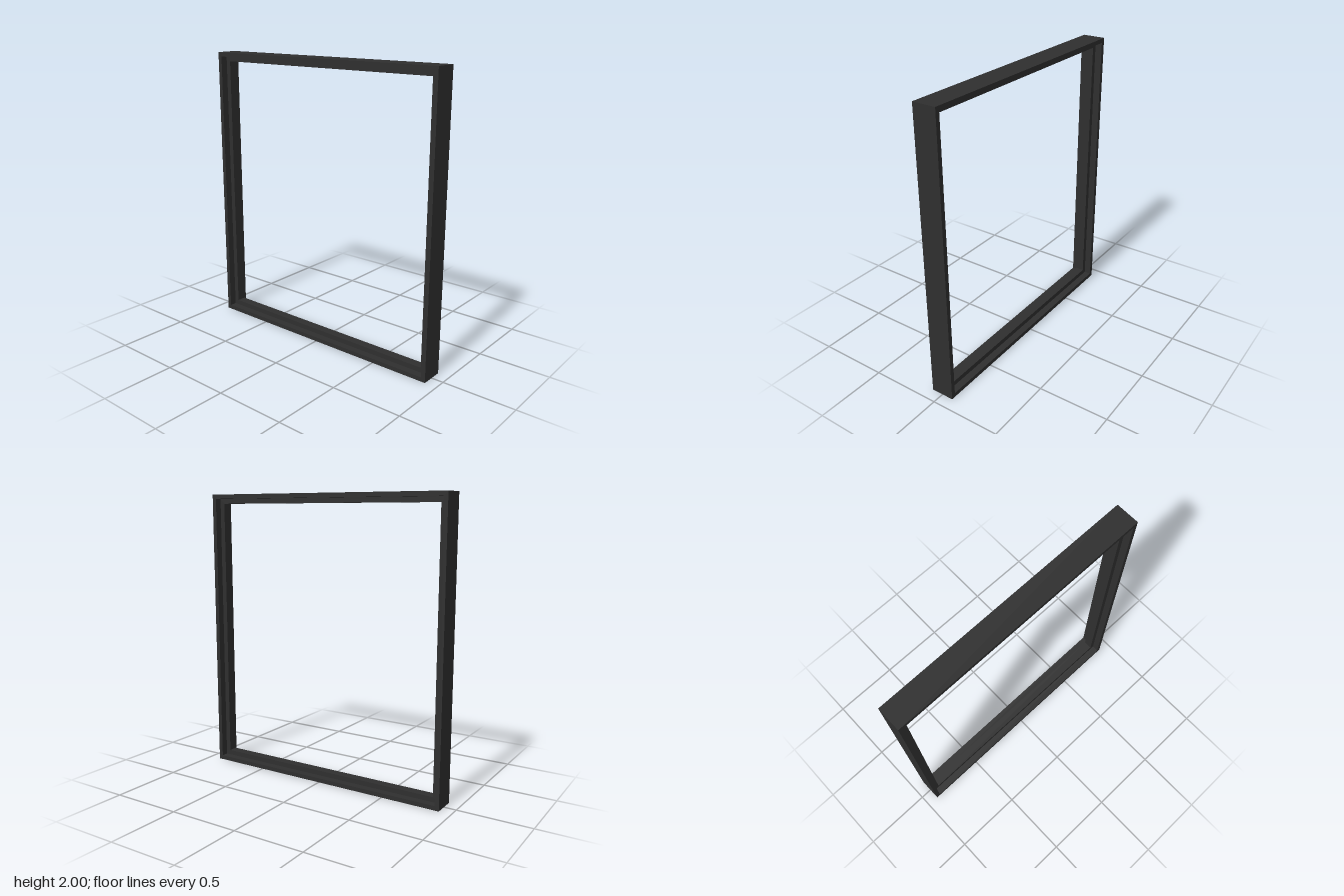
import * as THREE from 'three';

const HALF_W = 0.915, HALF_H = 1, HALF_D = 0.082;
const LIP = 0.03, RIDGE = 0.065, RIDGE_D = 0.032;

// Cross-section shared by all four members: [inset from outer edge, z]
const PROFILE = [
  [0, HALF_D], [LIP, HALF_D], [LIP, RIDGE_D], [RIDGE, RIDGE_D],
  [RIDGE, -RIDGE_D], [LIP, -RIDGE_D], [LIP, -HALF_D], [0, -HALF_D],
];

// Sweeps the profile between two mitred corners, given as sign pairs
function mitredMember(start, end) {
  const place = ([sx, sy], [inset, z]) =>
    [sx * (HALF_W - inset), HALF_H + sy * (HALF_H - inset), z];
  const positions = [];
  PROFILE.forEach((p, i) => {
    const q = PROFILE[(i + 1) % PROFILE.length];
    const a = place(start, p), b = place(end, p);
    const c = place(end, q), d = place(start, q);
    positions.push(...a, ...b, ...c, ...a, ...c, ...d);
  });
  const geometry = new THREE.BufferGeometry();
  geometry.setAttribute('position', new THREE.Float32BufferAttribute(positions, 3));
  geometry.computeVertexNormals();
  return geometry;
}

export function createModel() {
  const charcoal = new THREE.MeshStandardMaterial({ color: 0x2f2f2f });
  charcoal.name = 'charcoal';

  const model = new THREE.Group();
  model.name = 'windowFrame';

  // Four members, counter-clockwise around the opening
  const corners = [[-1, -1], [1, -1], [1, 1], [-1, 1]];
  ['sill', 'leftJamb', 'head', 'rightJamb'].forEach((name, i) => {
    const mesh = new THREE.Mesh(mitredMember(corners[i], corners[(i + 1) % 4]), charcoal);
    mesh.name = name;
    model.add(mesh);
  });
  return model;
}
